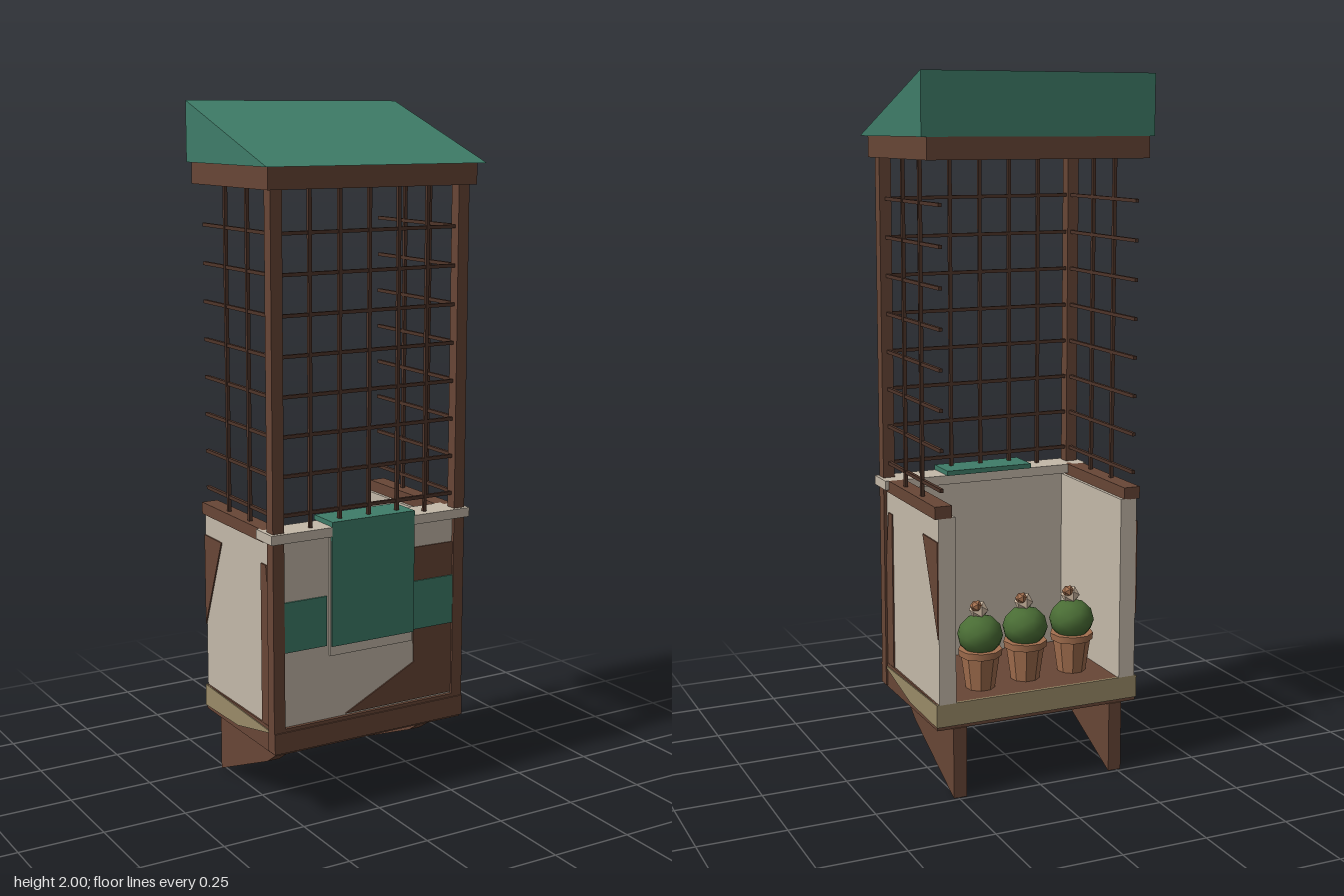
import * as THREE from 'three';

const mat = (name, color) => {
  const m = new THREE.MeshStandardMaterial({ color });
  m.name = name;
  return m;
};

export function createModel() {
  const root = new THREE.Group();
  root.name = 'balconyBooth';
  const green = mat('green', 0x3f7d69);
  const brown = mat('brown wood', 0x684636);
  const dark = mat('dark wood', 0x4f352a);
  const cream = mat('cream plaster', 0xc4b9a9);
  const tan = mat('tan stone', 0x9a8b68);
  const clay = mat('terracotta', 0xa4704f);
  const leaf = mat('leaf green', 0x4a6d35);
  const petal = mat('pale petal', 0xd6c0a8);

  const add = (name, geo, material, parent = root) => {
    const m = new THREE.Mesh(geo, material);
    m.name = name;
    parent.add(m);
    return m;
  };
  // box from its limits
  const box = (name, material, x0, x1, y0, y1, z0, z1, parent) => {
    const g = new THREE.BoxGeometry(x1 - x0, y1 - y0, z1 - z0);
    g.translate((x0 + x1) / 2, (y0 + y1) / 2, (z0 + z1) / 2);
    return add(name, g, material, parent);
  };
  const extrude = (pts, depth) => new THREE.ExtrudeGeometry(
    new THREE.Shape(pts.map((p) => new THREE.Vector2(...p))), { depth, bevelEnabled: false });
  // plate in the xy plane, its back at z
  const frontPlate = (name, material, pts, z, depth = 0.004) =>
    add(name, extrude(pts, depth).translate(0, 0, z), material);
  // slab with a (z, y) outline, between x0 and x0 + width
  const sideSlab = (name, material, pts, x0, width) =>
    add(name, extrude(pts, width).rotateY(-Math.PI / 2).translate(x0 + width, 0, 0), material);

  // wedge roof, frame and soffit
  sideSlab('roof', green, [[0.238, 1.83], [-0.24, 1.83], [-0.24, 2]], -0.345, 0.69);
  box('roofFrame', brown, -0.33, 0.33, 1.77, 1.83, -0.24, 0.215);

  // floor and its stone edge
  box('floor', brown, -0.31, 0.31, 0.205, 0.28, -0.236, 0.2);
  box('floorBackEdge', tan, -0.311, 0.311, 0.215, 0.281, -0.24, -0.232);

  // front parapet with worn plaster
  box('frontWall', cream, -0.305, 0.305, 0.28, 0.82, 0.145, 0.19);
  frontPlate('wornFront', brown, [[-0.08, 0.285], [0.31, 0.285], [0.31, 0.745],
    [0.14, 0.745], [0.15, 0.4]], 0.19);
  box('bottomRail', brown, -0.315, 0.315, 0.21, 0.27, 0.19, 0.204);
  box('frontRail', cream, -0.325, 0.325, 0.818, 0.845, 0.12, 0.212);

  // cloth hung over the rail, with a pale lining and side bands
  box('cloth', green, -0.135, 0.135, 0.5, 0.86, 0.206, 0.214);
  box('clothFold', green, -0.135, 0.135, 0.846, 0.86, 0.11, 0.214);
  box('clothLining', cream, -0.137, 0.137, 0.47, 0.82, 0.197, 0.204);
  for (const s of [-1, 1]) {
    box('band', green, s * 0.212 - 0.068, s * 0.212 + 0.068, 0.5, 0.645, 0.193, 0.198);
  }

  for (const s of [-1, 1]) {
    const wide = (name, material, x0, x1, ...r) =>
      box(name, material, Math.min(s * x0, s * x1), Math.max(s * x0, s * x1), ...r);
    const plate = (name, material, pts, x) =>
      sideSlab(name, material, pts, s > 0 ? x : -x - 0.004, 0.004);

    // corner post, side wall and rail
    wide('post', brown, 0.28, 0.315, 0.21, 1.77, 0.165, 0.2);
    wide('sideWall', cream, 0.255, 0.305, 0.28, 0.812, -0.24, 0.17);
    wide('sideRail', brown, 0.265, 0.315, 0.81, 0.845, -0.24, 0.14);

    // worn patches on the outside
    plate('wornCorner', brown, [[0.165, 0.28], [0.115, 0.28], [0.115, 0.745],
      [0.145, 0.745], [0.165, 0.6]], 0.305);
    plate('wornPatch', brown, [[-0.13, 0.745], [-0.24, 0.745], [-0.24, 0.47]], 0.305);
    plate('floorSideEdge', tan, [[0.19, 0.268], [-0.03, 0.22], [-0.24, 0.215],
      [-0.24, 0.28]], 0.309);

    // support bracket
    sideSlab('bracket', brown, [[0.17, 0.206], [0.06, 0.13], [-0.24, 0],
      [-0.24, 0.206]], s * 0.244 - 0.02, 0.04);

    // side lattice uprights
    for (const z of [0.03, -0.1]) {
      wide('sideLatticeUpright', dark, 0.291, 0.301, 0.84, 1.77, z - 0.005, z + 0.005);
    }
  }

  // lattice
  for (let i = -2; i <= 2; i++) {
    box('latticeUpright', dark, i * 0.094 - 0.005, i * 0.094 + 0.005, 0.84, 1.77, 0.177, 0.187);
  }
  for (let i = 0; i < 8; i++) {
    const y = 0.888 + i * 0.1095;
    box('latticeBar', dark, -0.285, 0.285, y - 0.005, y + 0.005, 0.175, 0.185);
    for (const s of [-1, 1]) {
      box('sideLatticeBar', dark, s * 0.294 - 0.005, s * 0.294 + 0.005,
        y - 0.005, y + 0.005, -0.24, 0.17);
    }
  }

  // potted plants on the floor
  for (const [x, z] of [[0.14, -0.14], [-0.01, -0.12], [-0.165, -0.11]]) {
    const plant = new THREE.Group();
    plant.name = 'pottedPlant';
    plant.position.set(x, 0.28, z);
    root.add(plant);
    const pot = new THREE.CylinderGeometry(0.058, 0.042, 0.11, 9).toNonIndexed();
    pot.computeVertexNormals();
    add('pot', pot.translate(0, 0.055, 0), clay, plant);
    add('potRim', new THREE.CylinderGeometry(0.064, 0.062, 0.02, 9).translate(0, 0.105, 0), clay, plant);
    add('foliage', new THREE.IcosahedronGeometry(0.066, 1).scale(1, 0.9, 1)
      .translate(0, 0.155, 0), leaf, plant);
    add('flower', new THREE.IcosahedronGeometry(0.028, 0).translate(0, 0.225, 0.01), petal, plant);
    add('flowerHeart', new THREE.IcosahedronGeometry(0.018, 0).translate(0.012, 0.24, 0), clay, plant);
  }
  return root;
}
